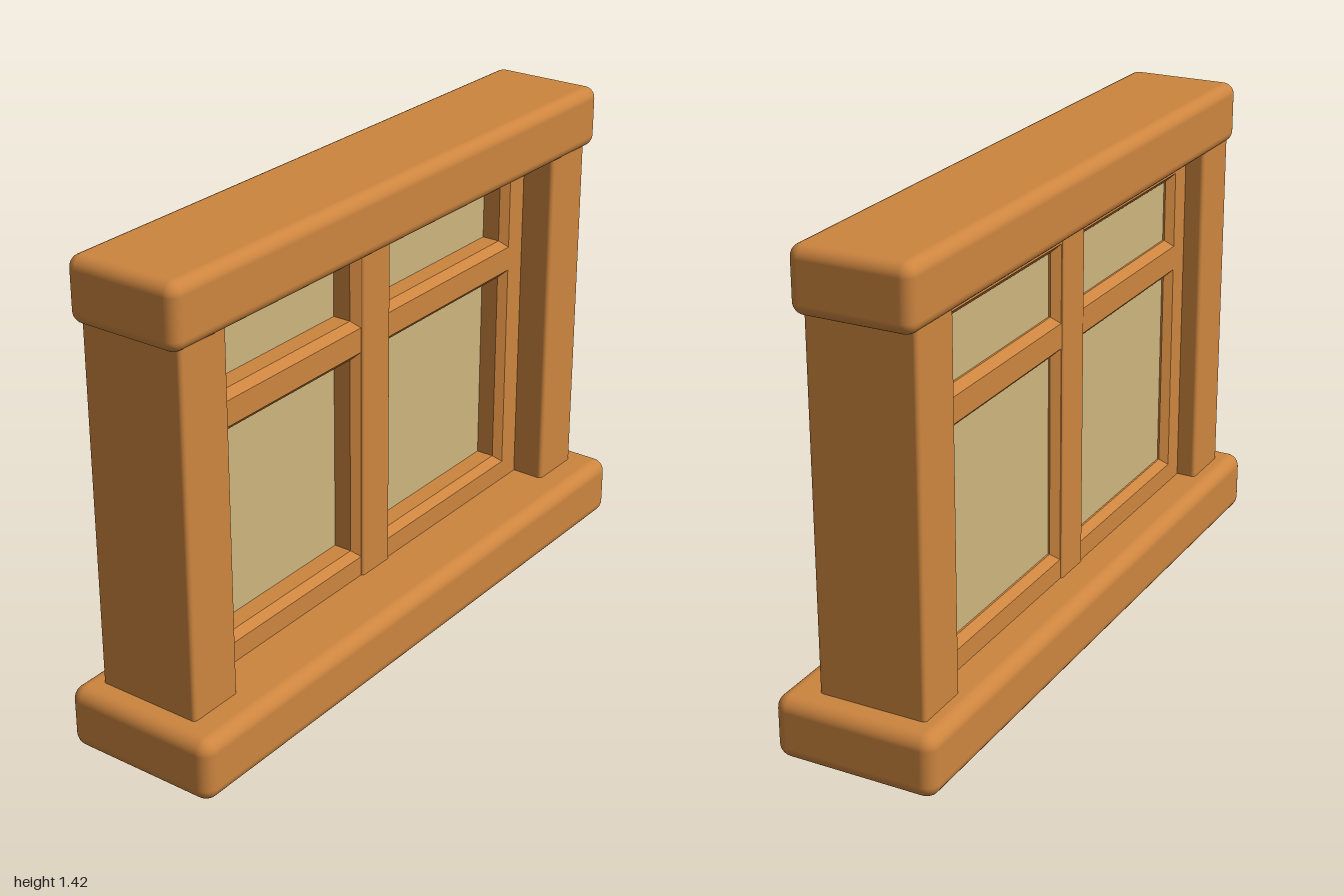
import * as THREE from 'three';
import { RoundedBoxGeometry } from 'three/addons/geometries/RoundedBoxGeometry.js';

const wood = new THREE.MeshStandardMaterial({ color: 0xcd853f });
wood.name = 'warm wood';
const glass = new THREE.MeshStandardMaterial({ color: 0xcdb57e });
glass.name = 'pale amber glass';

// Rounded block given by its limits on each axis
function block(name, [x0, x1], [y0, y1], [z0, z1], radius, material = wood) {
  const geometry = new RoundedBoxGeometry(x1 - x0, y1 - y0, z1 - z0, 4, radius);
  const mesh = new THREE.Mesh(geometry, material);
  mesh.position.set((x0 + x1) / 2, (y0 + y1) / 2, (z0 + z1) / 2);
  mesh.name = name;
  return mesh;
}

function rectangle(path, x0, x1, y0, y1) {
  path.moveTo(x0, y0);
  path.lineTo(x1, y0);
  path.lineTo(x1, y1);
  path.lineTo(x0, y1);
  path.closePath();
  return path;
}

// Sash with four openings whose edges are chamfered on both faces
function sashFrame(back, front) {
  const shape = rectangle(new THREE.Shape(), -0.8, 0.8, 0.14, 1.28);
  for (const [x0, x1] of [[-0.657, -0.088], [0.088, 0.657]]) {
    for (const [y0, y1] of [[0.268, 0.872], [0.99, 1.175]]) {
      shape.holes.push(rectangle(new THREE.Path(), x0, x1, y0, y1));
    }
  }
  const bevel = 0.022;
  const geometry = new THREE.ExtrudeGeometry(shape, {
    depth: front - back - 2 * bevel,
    bevelEnabled: true,
    bevelSize: bevel,
    bevelThickness: bevel,
    bevelOffset: -bevel,
    bevelSegments: 1,
  });
  geometry.translate(0, 0, back + bevel);
  const mesh = new THREE.Mesh(geometry, wood);
  mesh.name = 'sashFrame';
  return mesh;
}

export function createModel() {
  const group = new THREE.Group();
  group.name = 'window';

  // Heavy outer surround
  group.add(block('sill', [-1, 1], [0, 0.185], [-0.25, 0.23], 0.04));
  group.add(block('lintel', [-0.965, 0.965], [1.237, 1.42], [-0.2, 0.15], 0.035));
  group.add(block('rightPost', [-0.927, -0.752], [0.15, 1.27], [-0.19, 0.13], 0.012));
  group.add(block('leftPost', [0.752, 0.927], [0.15, 1.27], [-0.19, 0.13], 0.012));

  // Recessed sash and the upright between its two halves
  group.add(sashFrame(-0.13, 0.03));
  group.add(block('mullion', [-0.066, 0.062], [0.15, 1.27], [-0.135, 0.037], 0.008));

  // Panes, one per half, passing behind the crossbars
  for (const [name, x0, x1] of [['rightPane', -0.68, -0.07], ['leftPane', 0.07, 0.68]]) {
    const pane = new THREE.Mesh(new THREE.BoxGeometry(x1 - x0, 0.96, 0.055), glass);
    pane.position.set((x0 + x1) / 2, 0.72, -0.075);
    pane.name = name;
    group.add(pane);
  }
  return group;
}
